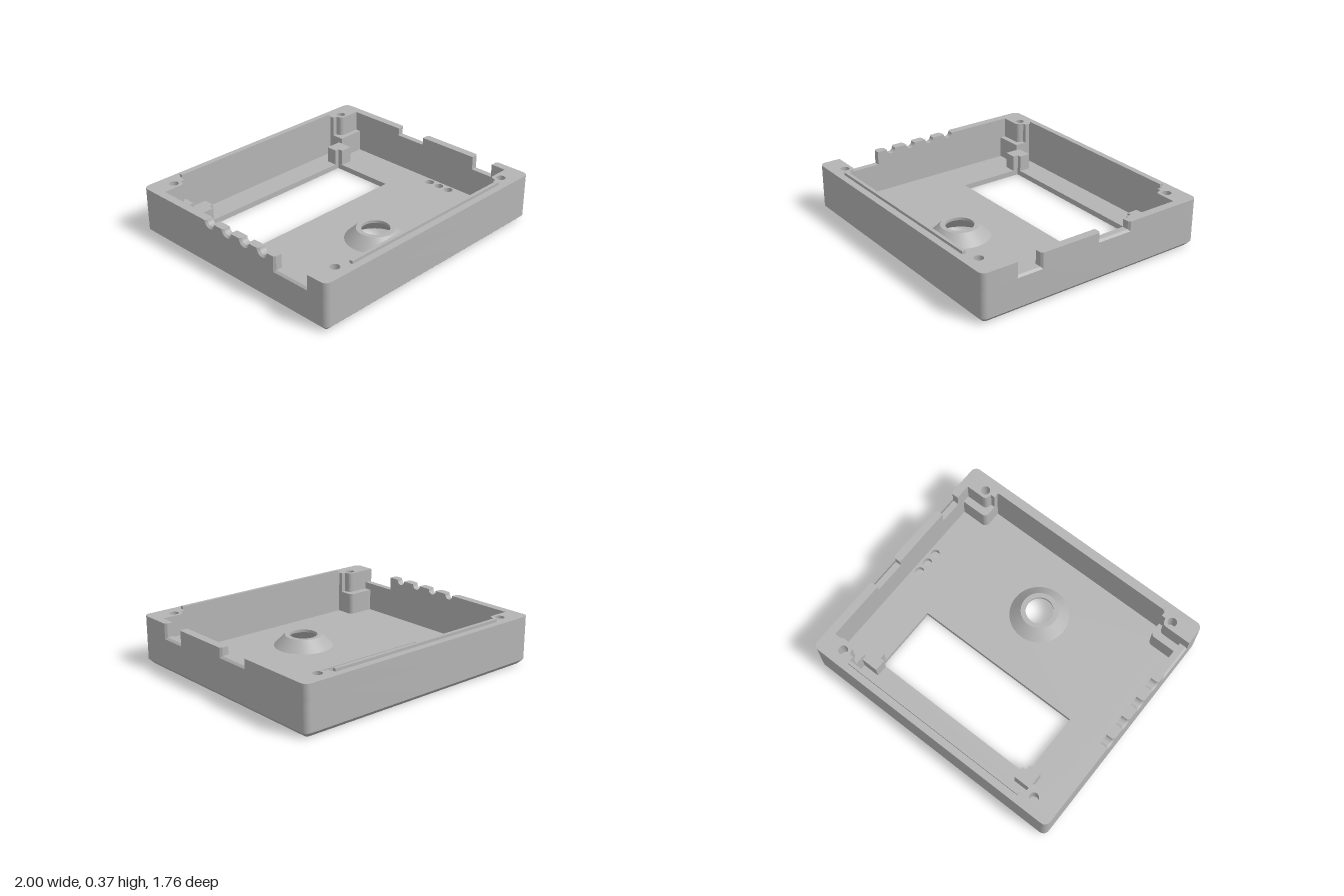
import * as THREE from 'three';
import { toCreasedNormals } from 'three/addons/utils/BufferGeometryUtils.js';

const V = (x, y) => new THREE.Vector2(x, y);
const RIM = 0.35, MID = 0.23, FLOOR = 0.04, CHAMFER = 0.035;

// Arc as a list of points
function arc(cx, cy, r, a0, a1, n = 8) {
  return Array.from({ length: n + 1 }, (_, i) => {
    const a = a0 + (a1 - a0) * i / n;
    return V(cx + r * Math.cos(a), cy + r * Math.sin(a));
  });
}

function roundedRect(hx, hz, r) {
  const q = Math.PI / 2;
  return [[1, 1], [-1, 1], [-1, -1], [1, -1]].flatMap(([sx, sz], i) =>
    arc(sx * (hx - r), sz * (hz - r), r, i * q, (i + 1) * q));
}

function shapeOf(points, holes = []) {
  const s = new THREE.Shape(points);
  s.holes = holes.map(h => new THREE.Path(h));
  return s;
}

const circle = (x, z, r) => arc(x, z, r, 0, Math.PI * 2, 28).slice(0, -1);

// Plan outline (x, z) raised from y0 to y1
function raise(shape, y0, y1) {
  return new THREE.ExtrudeGeometry(shape, { depth: y1 - y0, bevelEnabled: false })
    .rotateX(Math.PI / 2).translate(0, y1, 0);
}

// Strip of faces joining two closed loops of 3D points
function loft(a, b) {
  const pos = [];
  a.forEach((p, i) => {
    const j = (i + 1) % a.length;
    for (const v of [p, b[i], b[j], p, b[j], a[j]]) pos.push(v.x, v.y, v.z);
  });
  const g = new THREE.BufferGeometry();
  g.setAttribute('position', new THREE.Float32BufferAttribute(pos, 3));
  return g;
}

export function createModel() {
  const group = new THREE.Group();
  const grey = new THREE.MeshStandardMaterial({ color: 0xb4b4b4, side: THREE.DoubleSide });
  grey.name = 'grey plastic';
  const add = (name, geo) => {
    const m = new THREE.Mesh(toCreasedNormals(geo, 0.6), grey);
    m.name = name;
    group.add(m);
  };

  const screws = [[1, 1], [-1, 1], [-1, -1], [1, -1]].map(([a, b]) => [a * 0.82, b * 0.775]);
  const outer = roundedRect(1, 0.88, 0.045);
  const base = roundedRect(1 - CHAMFER, 0.88 - CHAMFER, 0.02);

  // Floor plate with window, speaker, lamp and screw openings
  const windowHole = [V(-0.645, -0.625), V(0.64, -0.625), V(0.64, -0.13), V(-0.645, -0.13)];
  add('floor', raise(shapeOf(base, [
    windowHole,
    circle(0, 0.357, 0.2),
    ...[0.086, 0.175, 0.264].map(z => circle(0.892, z, 0.033)),
    ...screws.map(([x, z]) => circle(x, z, 0.04)),
  ]), 0, FLOOR));

  // Bevel around the bottom edge
  add('bottomChamfer', loft(
    base.map(p => new THREE.Vector3(p.x, 0, p.y)),
    outer.map(p => new THREE.Vector3(p.x, CHAMFER, p.y))));

  // Inner outline of one corner post, from the end wall to the side wall
  const post = [V(0.735, 0.805), V(0.735, 0.77), V(0.765, 0.77),
    ...arc(0.805, 0.755, 0.035, Math.PI, Math.PI * 1.5), V(0.94, 0.72)];
  const flip = (pts, sx, sz) => pts.map(p => V(p.x * sx, p.y * sz));
  const cavity = [
    ...post, ...flip(post, 1, -1).reverse(),
    ...flip(post, -1, -1), ...flip(post, -1, 1).reverse(),
  ];

  // Lower wall, unbroken all round
  add('lowerWall', raise(shapeOf(outer, [cavity, ...screws.map(([x, z]) => circle(x, z, 0.04))]), CHAMFER, MID));
  for (const [x, z] of screws)
    add('screwHoleStop', new THREE.CylinderGeometry(0.04, 0.04, 0.01, 28).translate(x, 0.2, z));

  // Upper front and back walls with their posts, and the locating lips
  const half = [...post, V(1, 0.72), ...arc(0.955, 0.835, 0.045, 0, Math.PI / 2)];
  const endWall = [...half, ...flip(half, -1, 1).reverse()];
  for (const s of [1, -1]) {
    const name = s > 0 ? 'front' : 'back';
    const holes = screws.filter(p => p[1] * s > 0).map(([x, z]) => circle(x, z, 0.033));
    add(name + 'Wall', raise(shapeOf(flip(endWall, 1, s), holes), MID, RIM));
    add(name + 'Lip', new THREE.BoxGeometry(1.45, 0.04, 0.025).translate(0, 0.35, s * 0.8175));
  }

  // Upper side walls: profile in (z, y), openings flared by g at the outside
  const notch = (z0, z1, y, g) => [V(z0 - g, RIM), V(z0 - g, y - g), V(z1 + g, y - g), V(z1 + g, RIM)];
  const leftProfile = g => [
    V(-0.72, MID), V(-0.72, RIM),
    ...notch(-0.275, -0.035, 0.293, g),
    ...notch(0.435, 0.605, 0.252, g),
    V(0.72, RIM), V(0.72, MID),
  ];
  const rightProfile = g => [
    V(-0.72, MID), V(-0.72, RIM),
    ...[-0.18, -0.012, 0.155, 0.322].flatMap(z => arc(z, RIM, 0.035 + g, Math.PI, Math.PI * 2, 12)),
    V(0.435 - g, RIM), V(0.435 - g, 0.252 - g), V(0.72, 0.252 - g), V(0.72, MID),
  ];
  for (const [name, s, profile] of [['leftWall', 1, leftProfile], ['rightWall', -1, rightProfile]]) {
    const inside = profile(0), outside = profile(0.013);
    add(name, new THREE.ExtrudeGeometry(shapeOf(inside), { depth: 0.045, bevelEnabled: false })
      .rotateY(-Math.PI / 2).translate(s > 0 ? 0.985 : -0.94, 0, 0));
    add(name + 'Flare', loft(
      inside.map(p => new THREE.Vector3(s * 0.985, p.y, p.x)),
      outside.map(p => new THREE.Vector3(s, p.y, p.x))));
    add(name + 'Face', new THREE.ShapeGeometry(shapeOf(outside))
      .rotateY(-Math.PI / 2).translate(s, 0, 0));
  }

  // Ledges at the foot of the posts, and notched display standoffs at the back
  const frontLedge = [V(0.95, 0.665), V(0.95, 0.81), V(0.735, 0.81),
    ...arc(0.77, 0.7, 0.035, Math.PI, Math.PI * 1.5)];
  const backLedge = [V(0.95, -0.68), V(0.735, -0.68), V(0.735, -0.81), V(0.95, -0.81)];
  const standoff = [V(0.735, -0.71), V(0.61, -0.71), V(0.61, -0.625), V(0.642, -0.625),
    V(0.642, -0.585), V(0.735, -0.585)];
  for (const s of [1, -1]) {
    add('frontLedge', raise(shapeOf(flip(frontLedge, s, 1)), FLOOR, 0.2));
    add('backLedge', raise(shapeOf(flip(backLedge, s, 1)), FLOOR, 0.2));
    add('displayStandoff', raise(shapeOf(flip(standoff, s, 1)), FLOOR, 0.16));
  }

  // Conical button well
  const well = [V(0.2, 0), V(0.215, FLOOR), V(0.135, 0.12), V(0.1, 0.12), V(0.1, 0.1), V(0.2, 0)];
  add('buttonWell', new THREE.LatheGeometry(well, 48).translate(0, 0, 0.357));

  return group;
}
